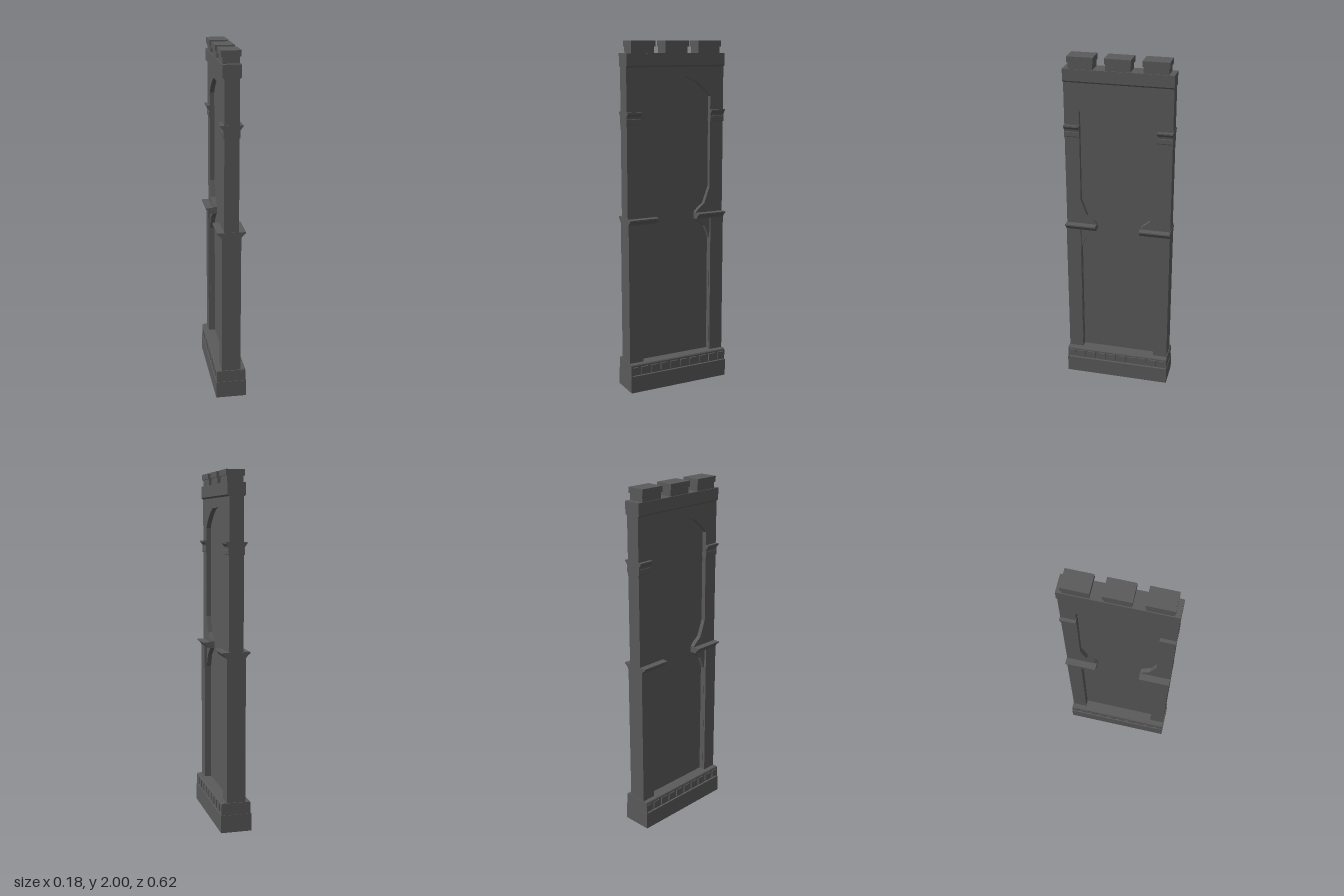
import * as THREE from 'three';

const stone = new THREE.MeshStandardMaterial({ color: 0x5a5a5a });
stone.name = 'dark stone';

export function createModel() {
  const model = new THREE.Group();
  model.name = 'wallSection';

  const add = (name, geometry) => {
    const mesh = new THREE.Mesh(geometry, stone);
    mesh.name = name;
    model.add(mesh);
    return mesh;
  };

  // Box centred on x, from half thickness, height range and z range
  const slab = (name, hx, y0, y1, z0, z1) => {
    const geometry = new THREE.BoxGeometry(hx * 2, y1 - y0, z1 - z0);
    geometry.translate(0, (y0 + y1) / 2, (z0 + z1) / 2);
    return add(name, geometry);
  };

  // Moulding whose (half thickness, height) profile is mirrored in x and run along z
  const moulding = (name, profile, z0, z1) => {
    const left = profile.map(([x, y]) => new THREE.Vector2(-x, y)).reverse();
    const right = profile.map(([x, y]) => new THREE.Vector2(x, y));
    const geometry = new THREE.ExtrudeGeometry(new THREE.Shape([...right, ...left]), {
      depth: z1 - z0, bevelEnabled: false,
    });
    geometry.translate(0, 0, z0);
    return add(name, geometry);
  };

  // Plinth and its row of dentils
  slab('plinth', 0.088, 0, 0.1, -0.312, 0.312);
  slab('dentilBand', 0.075, 0.1, 0.157, -0.304, 0.304);
  moulding('plinthCap', [[0.084, 0.155], [0.084, 0.163], [0.08, 0.169]], -0.309, 0.309);
  for (const end of [-1, 1]) {
    const z = end * 0.3055;
    slab('plinthEnd', 0.084, 0.1, 0.156, z - 0.004, z + 0.004);
  }
  const count = 10;
  const pitch = 0.064;
  for (let i = 0; i < count; i++) {
    const z = (i - (count - 1) / 2) * pitch;
    slab('dentil', 0.084, 0.106, 0.15, Math.max(z - 0.022, -0.309), Math.min(z + 0.022, 0.309));
  }

  // Arched wall frame with corbelled waist
  const half = [
    [0.22, 0.165], [0.22, 0.86], [0.19, 0.935], [0.145, 0.97], [0.13, 0.985],
    [0.13, 1.022], [0.145, 1.038], [0.185, 1.07], [0.22, 1.165], [0.22, 1.69],
    [0.19, 1.727], [0.13, 1.773], [0.065, 1.802],
  ];
  const opening = [
    ...half.map(([z, y]) => new THREE.Vector2(z, y)),
    ...half.map(([z, y]) => new THREE.Vector2(-z, y)).reverse(),
  ];
  const outline = new THREE.Shape([
    new THREE.Vector2(-0.304, 0.16), new THREE.Vector2(0.304, 0.16),
    new THREE.Vector2(0.304, 1.865), new THREE.Vector2(-0.304, 1.865),
  ]);
  outline.holes.push(new THREE.Path(opening));
  const frame = new THREE.ExtrudeGeometry(outline, { depth: 0.082, bevelEnabled: false });
  frame.translate(0, 0, -0.041);
  frame.rotateY(Math.PI / 2);
  add('archedFrame', frame);

  // Recessed panel filling the opening
  slab('recessedPanel', 0.015, 0.16, 1.83, -0.25, 0.25);

  // Lower piers, waist ledges and upper capitals, mirrored in z
  for (const side of [-1, 1]) {
    const run = (inner, outer) => (side > 0 ? [inner, outer] : [-outer, -inner]);
    slab('lowerPier', 0.054, 0.165, 0.99, ...run(0.221, 0.305));
    moulding('waistLedge', [
      [0.054, 0.983], [0.058, 0.99], [0.068, 1.002], [0.08, 1.01], [0.08, 1.018],
    ], ...run(0.128, 0.306));
    moulding('capital', [
      [0.044, 1.545], [0.046, 1.55], [0.046, 1.575], [0.044, 1.578], [0.046, 1.59],
      [0.06, 1.606], [0.06, 1.615],
    ], ...run(0.219, 0.306));
  }

  // Crown band and merlons
  moulding('crownBand', [[0.042, 1.857], [0.051, 1.866], [0.051, 1.932]], -0.306, 0.306);
  for (const z of [-0.207, 0, 0.207]) {
    slab('merlonNeck', 0.046, 1.93, 1.97, z - 0.068, z + 0.068);
    slab('merlonCap', 0.053, 1.968, 2, z - 0.073, z + 0.073);
  }

  return model;
}
